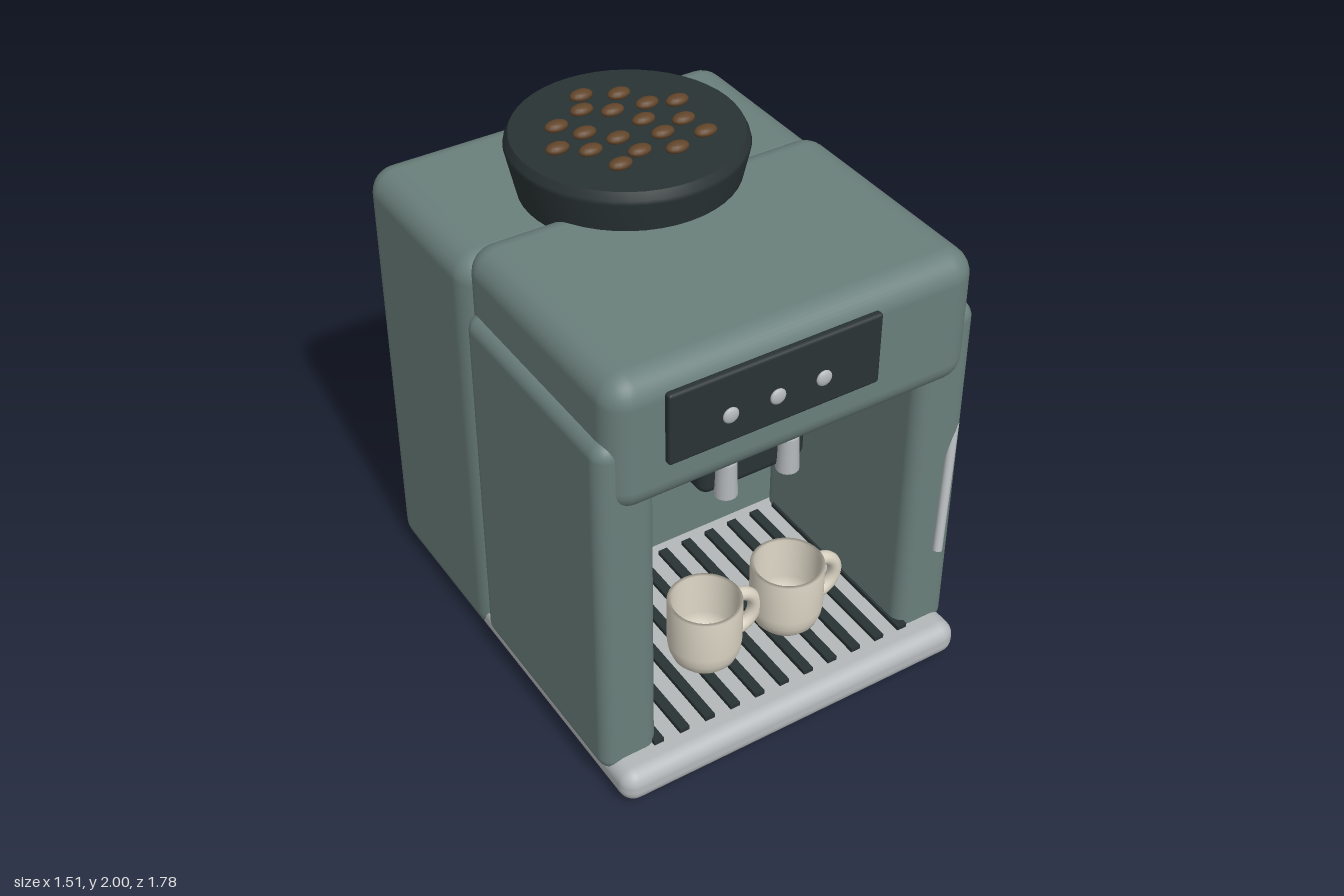
import * as THREE from 'three';
import { RoundedBoxGeometry } from 'three/addons/geometries/RoundedBoxGeometry.js';

const material = (name, color, side = THREE.FrontSide) => {
  const m = new THREE.MeshStandardMaterial({ color, side });
  m.name = name;
  return m;
};

export function createModel() {
  const group = new THREE.Group();
  const green = material('sage green', 0x6a7f7b);
  const dark = material('charcoal', 0x2a3334);
  const metal = material('brushed metal', 0xb4b8ba);
  const cream = material('cream ceramic', 0xd9d2c2, THREE.DoubleSide);
  const brown = material('coffee brown', 0x62452a);

  const add = (name, geometry, mat, x = 0, y = 0, z = 0, parent = group) => {
    const mesh = new THREE.Mesh(geometry, mat);
    mesh.name = name;
    mesh.position.set(x, y, z);
    parent.add(mesh);
    return mesh;
  };
  // Rounded box given by its limits on each axis
  const box = (name, mat, [x0, x1], [y0, y1], [z0, z1], radius, segments = 4) =>
    add(name, new RoundedBoxGeometry(x1 - x0, y1 - y0, z1 - z0, segments, radius), mat,
      (x0 + x1) / 2, (y0 + y1) / 2, (z0 + z1) / 2);

  // Housing
  box('rearBody', green, [-0.745, 0.745], [0, 1.75], [-0.89, -0.1], 0.1);
  box('head', green, [-0.72, 0.72], [1.28, 1.81], [-0.17, 0.81], 0.1);
  box('leftPillar', green, [0.53, 0.755], [0.085, 1.57], [-0.12, 0.78], 0.06);
  box('rightPillar', green, [-0.755, -0.53], [0.085, 1.57], [-0.12, 0.78], 0.06);

  // Drip tray with dark slots
  box('dripTray', metal, [-0.735, 0.735], [0.012, 0.152], [-0.64, 0.89], 0.06);
  for (let i = -5; i <= 5; i++) {
    add('traySlot', new THREE.BoxGeometry(0.04, 0.02, 0.84), dark, i * 0.108, 0.16, 0.37);
  }

  // Control panel and buttons
  box('controlPanel', dark, [-0.53, 0.29], [1.465, 1.745], [0.808, 0.841], 0.012, 2);
  for (const x of [-0.31, -0.13, 0.05]) {
    const button = add('button', new THREE.SphereGeometry(0.03, 20, 12), metal, x, 1.59, 0.855);
    button.scale.z = 0.4;
  }

  // Spout block with two nozzles
  box('spout', dark, [-0.22, 0.22], [0.98, 1.4], [0.25, 0.56], 0.04);
  for (const x of [-0.13, 0.13]) {
    add('nozzle', new THREE.CylinderGeometry(0.038, 0.043, 0.145, 20), metal, x, 1.05, 0.57);
  }

  // Bean hopper
  const hopperProfile = [[0, 1.7], [0.385, 1.7], [0.398, 1.76], [0.434, 1.925], [0.43, 1.94], [0.415, 1.968]];
  const v2 = ([x, y]) => new THREE.Vector2(x, y);
  add('hopper', new THREE.LatheGeometry(hopperProfile.map(v2), 48), dark, 0, 0, -0.275);
  const lid = add('hopperTop', new THREE.CircleGeometry(0.415, 48), dark, 0, 1.968, -0.275);
  lid.rotation.x = -Math.PI / 2;

  // Coffee beans
  const beans = [
    [-0.03, -0.54], [0.09, -0.48], [-0.08, -0.45], [-0.21, -0.4], [0.01, -0.39], [0.14, -0.37],
    [0.24, -0.33], [-0.15, -0.31], [0.07, -0.28], [-0.28, -0.27], [-0.07, -0.22], [0.19, -0.21],
    [-0.19, -0.2], [0.08, -0.17], [-0.05, -0.11], [0.21, -0.1], [-0.15, -0.07], [0.07, -0.06],
  ];
  const beanGeometry = new THREE.SphereGeometry(1, 16, 10);
  for (const [x, z] of beans) {
    add('bean', beanGeometry, brown, x, 1.979, z).scale.set(0.045, 0.021, 0.03);
  }

  // Cups: hollow lathe body and half-ring handle
  const cupProfile = [[0, 0], [0.1, 0], [0.122, 0.025], [0.135, 0.06], [0.14, 0.1], [0.14, 0.28],
    [0.125, 0.28], [0.124, 0.1], [0.105, 0.04], [0, 0.03]];
  for (const x of [-0.175, 0.19]) {
    const cup = new THREE.Group();
    cup.name = 'cup';
    cup.position.set(x, 0.17, 0.52);
    group.add(cup);
    add('cupBody', new THREE.LatheGeometry(cupProfile.map(v2), 40), cream, 0, 0, 0, cup);
    const handle = add('cupHandle', new THREE.TorusGeometry(0.085, 0.027, 12, 24, Math.PI), cream,
      0.136, 0.148, 0, cup);
    handle.rotation.z = -Math.PI / 2;
  }

  // Steam wand
  const top = new THREE.Vector3(0.72, 1.05, 0.756);
  const tip = new THREE.Vector3(0.613, 0.57, 0.857);
  const along = top.clone().sub(tip);
  const wand = add('steamWand', new THREE.CylinderGeometry(0.018, 0.018, along.length(), 16), metal);
  wand.position.copy(top).add(tip).multiplyScalar(0.5);
  wand.quaternion.setFromUnitVectors(new THREE.Vector3(0, 1, 0), along.normalize());

  return group;
}
